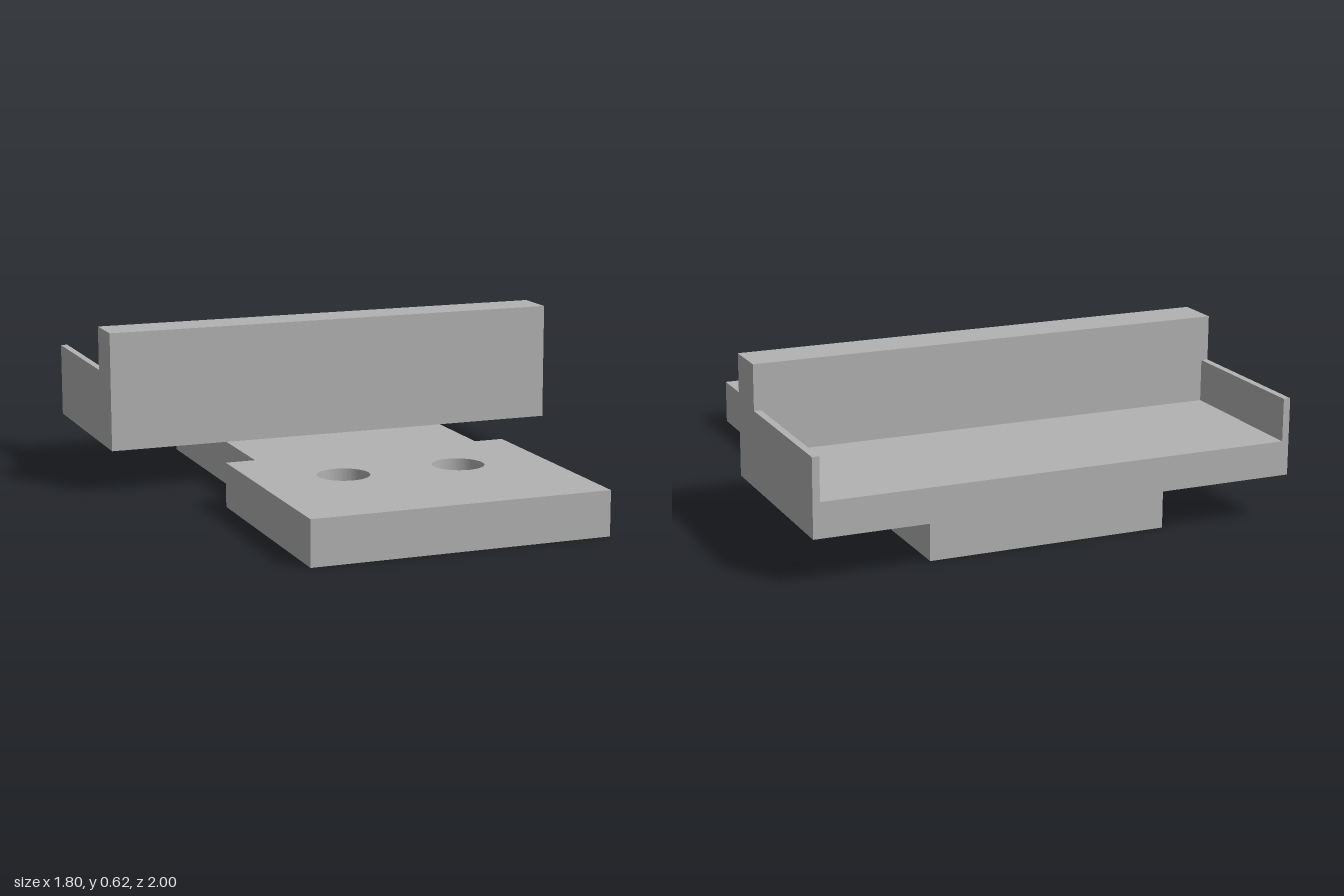
import * as THREE from 'three';
import { toCreasedNormals } from 'three/addons/utils/BufferGeometryUtils.js';

const BASE_TOP = 0.168, FLOOR = 0.295, CHEEK_TOP = 0.452, WALL_TOP = 0.62;
const BACK = -1, WALL_BACK = -0.408, WALL_FRONT = -0.241;
const HALF_WIDTH = 0.902, CHEEK = 0.026;

const shapeFrom = (pts) => new THREE.Shape(pts.map(([x, y]) => new THREE.Vector2(x, y)));

export function createModel() {
  const model = new THREE.Group();
  model.name = 'mountingBracket';
  const grey = new THREE.MeshStandardMaterial({ color: 0xb2b2b2 });
  grey.name = 'grey';

  const add = (name, geometry) => {
    const mesh = new THREE.Mesh(geometry, grey);
    mesh.name = name;
    model.add(mesh);
    return mesh;
  };

  // Base plate: wide front tab, narrower tongue behind, two screw holes (shape y = -z)
  const plate = shapeFrom([
    [-0.562, -1], [0.562, -1], [0.562, -0.098], [0.448, -0.098],
    [0.448, 0.91], [-0.448, 0.91], [-0.448, -0.098], [-0.562, -0.098],
  ]);
  for (const side of [-1, 1]) {
    plate.holes.push(new THREE.Path().absarc(side * 0.226, -0.436, 0.097, 0, Math.PI * 2, true));
  }
  const plateGeometry = new THREE.ExtrudeGeometry(plate, {
    depth: BASE_TOP, bevelEnabled: false, curveSegments: 48,
  });
  plateGeometry.rotateX(-Math.PI / 2);
  add('basePlate', toCreasedNormals(plateGeometry, 0.5));

  // Tray: L-shaped section of floor and tall front wall, run across x (shape x = -z)
  const section = shapeFrom([
    [-WALL_FRONT, BASE_TOP], [-BACK, BASE_TOP], [-BACK, FLOOR],
    [-WALL_BACK, FLOOR], [-WALL_BACK, WALL_TOP], [-WALL_FRONT, WALL_TOP],
  ]);
  const trayGeometry = new THREE.ExtrudeGeometry(section, {
    depth: HALF_WIDTH * 2, bevelEnabled: false,
  });
  trayGeometry.rotateY(Math.PI / 2).translate(-HALF_WIDTH, 0, 0);
  add('tray', trayGeometry);

  // Thin end cheeks standing on the tray floor
  for (const [name, side] of [['leftCheek', 1], ['rightCheek', -1]]) {
    const cheek = add(name, new THREE.BoxGeometry(CHEEK, CHEEK_TOP - FLOOR, WALL_BACK - BACK));
    cheek.position.set(side * (HALF_WIDTH - CHEEK / 2), (CHEEK_TOP + FLOOR) / 2, (WALL_BACK + BACK) / 2);
  }

  return model;
}
